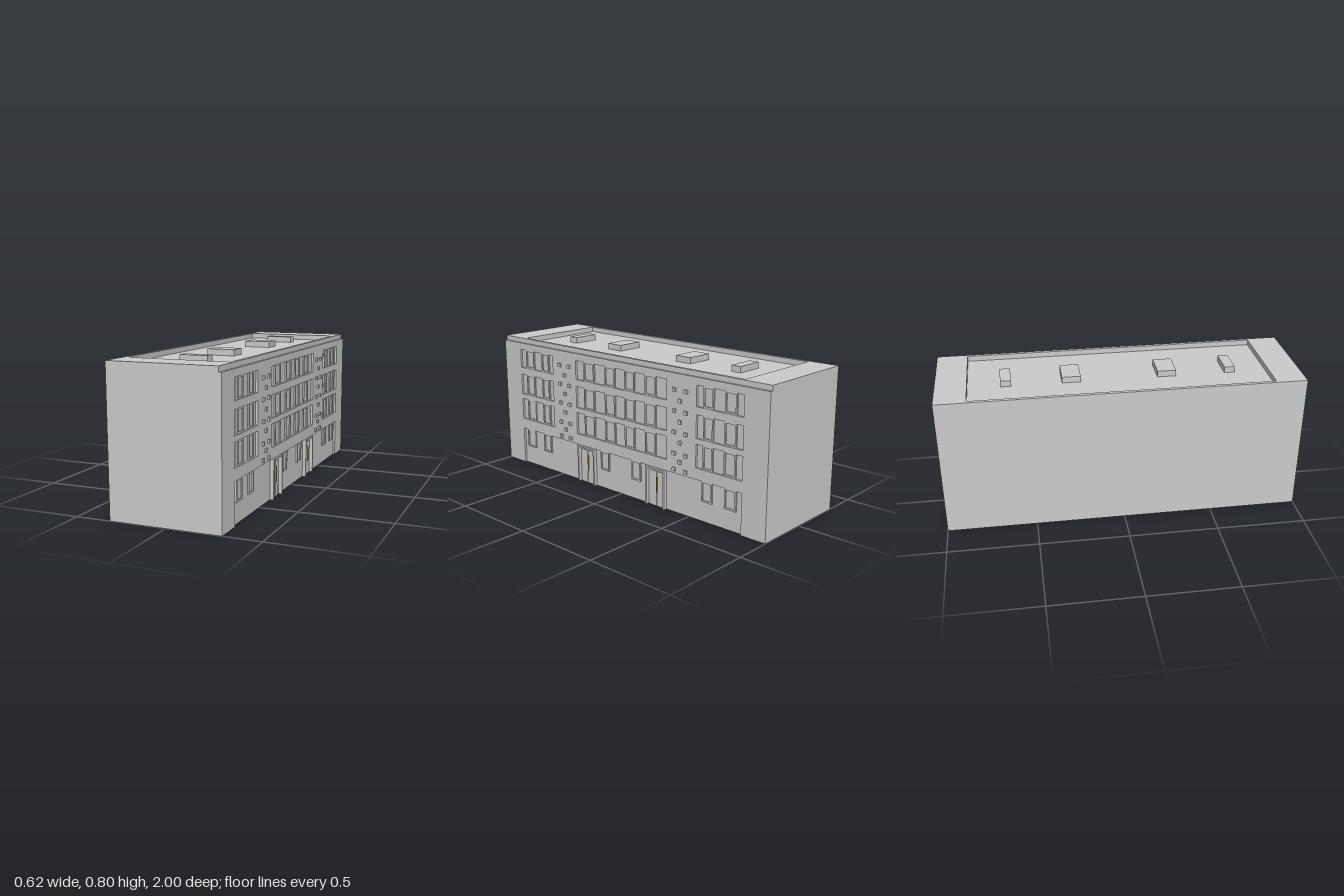
import * as THREE from 'three';

const grey = new THREE.MeshStandardMaterial({ color: 0xcccccc, flatShading: true });
const shellGrey = new THREE.MeshStandardMaterial({ color: 0xcccccc, flatShading: true, side: THREE.DoubleSide });
const brass = new THREE.MeshStandardMaterial({ color: 0xb87a14, flatShading: true });

// The street facade faces +x: outer wall, recessed wall and window frame planes
const BACK = -0.3085, WALL = 0.298, RECESS = 0.286, FRAME = 0.294;
const GROUND_TOP = 0.225, ROOF = 0.766, PARAPET_TOP = 0.796;
const floors = [[0.288, 0.417], [0.447, 0.573], [0.615, 0.727]];

// Recessed bays along z and the windows standing in them
const bays = [
  { z: [0.553, 0.85], windows: [[0.594, 0.66], [0.73, 0.805]] },
  { z: [-0.351, 0.351], windows: [[-0.268, -0.19], [-0.113, -0.037], [0.037, 0.118], [0.203, 0.289]] },
  { z: [-0.85, -0.553], windows: [[-0.66, -0.594], [-0.805, -0.73]] },
];
const groundWindows = [[0.743, 0.818], [0.594, 0.663], [0.091, 0.16],
  [-0.155, -0.085], [-0.658, -0.588], [-0.813, -0.738]];
const doors = [
  { z: [0.203, 0.343], handle: 0.267 },
  { z: [-0.343, -0.203], handle: -0.278 },
];

function createBox(parent, name, x, y, z, material = grey) {
  const mesh = new THREE.Mesh(new THREE.BoxGeometry(x[1] - x[0], y[1] - y[0], z[1] - z[0]), material);
  mesh.position.set((x[0] + x[1]) / 2, (y[0] + y[1]) / 2, (z[0] + z[1]) / 2);
  mesh.name = name;
  parent.add(mesh);
  return mesh;
}

function rectangle(Type, x0, x1, y0, y1) {
  const path = new Type();
  path.moveTo(x0, y0);
  path.lineTo(x1, y0);
  path.lineTo(x1, y1);
  path.lineTo(x0, y1);
  path.closePath();
  return path;
}

// Framed window projecting from the recessed wall
function createWindow(parent, [z0, z1], [y0, y1]) {
  const t = 0.009;
  const x = [RECESS, FRAME];
  const frame = new THREE.Group();
  frame.name = 'window';
  parent.add(frame);
  createBox(frame, 'windowHead', x, [y1 - t, y1], [z0, z1]);
  createBox(frame, 'windowSill', x, [y0, y0 + t], [z0, z1]);
  createBox(frame, 'windowJamb', x, [y0 + t, y1 - t], [z0, z0 + t]);
  createBox(frame, 'windowJamb', x, [y0 + t, y1 - t], [z1 - t, z1]);
  createBox(frame, 'windowPane', [RECESS, 0.288], [y0 + t, y1 - t], [z0 + t, z1 - t]);
}

export function createModel() {
  const model = new THREE.Group();
  model.name = 'building';

  // Hollow main block, open underneath (the bottom face is dropped)
  const shell = createBox(model, 'mainBlock', [BACK, RECESS], [0, ROOF], [-1, 1], shellGrey);
  const faces = Array.from(shell.geometry.index.array);
  const bottom = shell.geometry.groups[3];
  faces.splice(bottom.start, bottom.count);
  shell.geometry.setIndex(faces);
  shell.geometry.clearGroups();

  // Parapet ring around the sunken roof
  const ring = rectangle(THREE.Shape, BACK, 0.285, -1, 1);
  ring.holes.push(rectangle(THREE.Path, -0.289, 0.266, -0.829, 0.829));
  const parapetGeometry = new THREE.ExtrudeGeometry(ring, { depth: PARAPET_TOP - ROOF, bevelEnabled: false });
  parapetGeometry.rotateX(-Math.PI / 2).translate(0, ROOF, 0);
  const parapet = new THREE.Mesh(parapetGeometry, grey);
  parapet.name = 'parapet';
  model.add(parapet);

  // Rooftop vents
  for (const side of [-1, 1]) {
    for (const [z, width] of [[0.622, 0.058], [0.265, 0.104]]) {
      createBox(model, 'roofVent', [-0.09, 0.066], [ROOF, 0.8],
        [side * z - width / 2, side * z + width / 2]);
    }
  }

  // Facade slab: cut away along the ground floor, with long slots for the window bays
  const outline = new THREE.Shape();
  outline.moveTo(-1, 0);
  outline.lineTo(-0.85, 0);
  outline.lineTo(-0.85, GROUND_TOP);
  outline.lineTo(0.85, GROUND_TOP);
  outline.lineTo(0.85, 0);
  outline.lineTo(1, 0);
  outline.lineTo(1, 0.768);
  outline.lineTo(-1, 0.768);
  outline.closePath();
  for (const [y0, y1] of floors) {
    for (const { z } of bays) outline.holes.push(rectangle(THREE.Path, -z[1], -z[0], y0, y1));
  }
  const facadeGeometry = new THREE.ExtrudeGeometry(outline, { depth: WALL - RECESS, bevelEnabled: false });
  facadeGeometry.rotateY(Math.PI / 2).translate(RECESS, 0, 0);
  const facade = new THREE.Mesh(facadeGeometry, grey);
  facade.name = 'facadeWall';
  model.add(facade);

  // Windows of the upper floors and the ground floor
  for (const floor of floors) {
    for (const { windows } of bays) {
      for (const span of windows) createWindow(model, span, floor);
    }
  }
  for (const span of groundWindows) createWindow(model, span, [0.112, GROUND_TOP]);

  // Doorways: projecting surround, two leaves and a thin pull handle
  for (const { z: [z0, z1], handle } of doors) {
    const t = 0.01;
    const x = [RECESS, 0.307];
    const middle = (z0 + z1) / 2;
    const doorway = new THREE.Group();
    doorway.name = 'doorway';
    model.add(doorway);
    createBox(doorway, 'doorLintel', x, [GROUND_TOP - t, GROUND_TOP], [z0, z1]);
    createBox(doorway, 'doorJamb', x, [0, GROUND_TOP - t], [z0, z0 + t]);
    createBox(doorway, 'doorJamb', x, [0, GROUND_TOP - t], [z1 - t, z1]);
    createBox(doorway, 'doorLeaf', [RECESS, 0.29], [0, 0.2], [z0 + 0.022, middle - 0.002]);
    createBox(doorway, 'doorLeaf', [RECESS, 0.29], [0, 0.2], [middle + 0.002, z1 - 0.022]);
    createBox(doorway, 'doorHandle', [0.289, 0.296], [0.08, 0.17], [handle - 0.002, handle + 0.002], brass);
  }

  // Staggered decorative blocks flanking the central bay
  const rows = [0.249, 0.295, 0.337, 0.401, 0.454, 0.513, 0.569, 0.626, 0.682];
  for (const side of [-1, 1]) {
    rows.forEach((y, i) => {
      for (const z of i % 2 ? [0.446] : [0.407, 0.486]) {
        createBox(model, 'facadeBlock', [WALL, 0.3085], [y - 0.01, y + 0.01],
          [side * z - 0.01, side * z + 0.01]);
      }
    });
  }

  return model;
}
